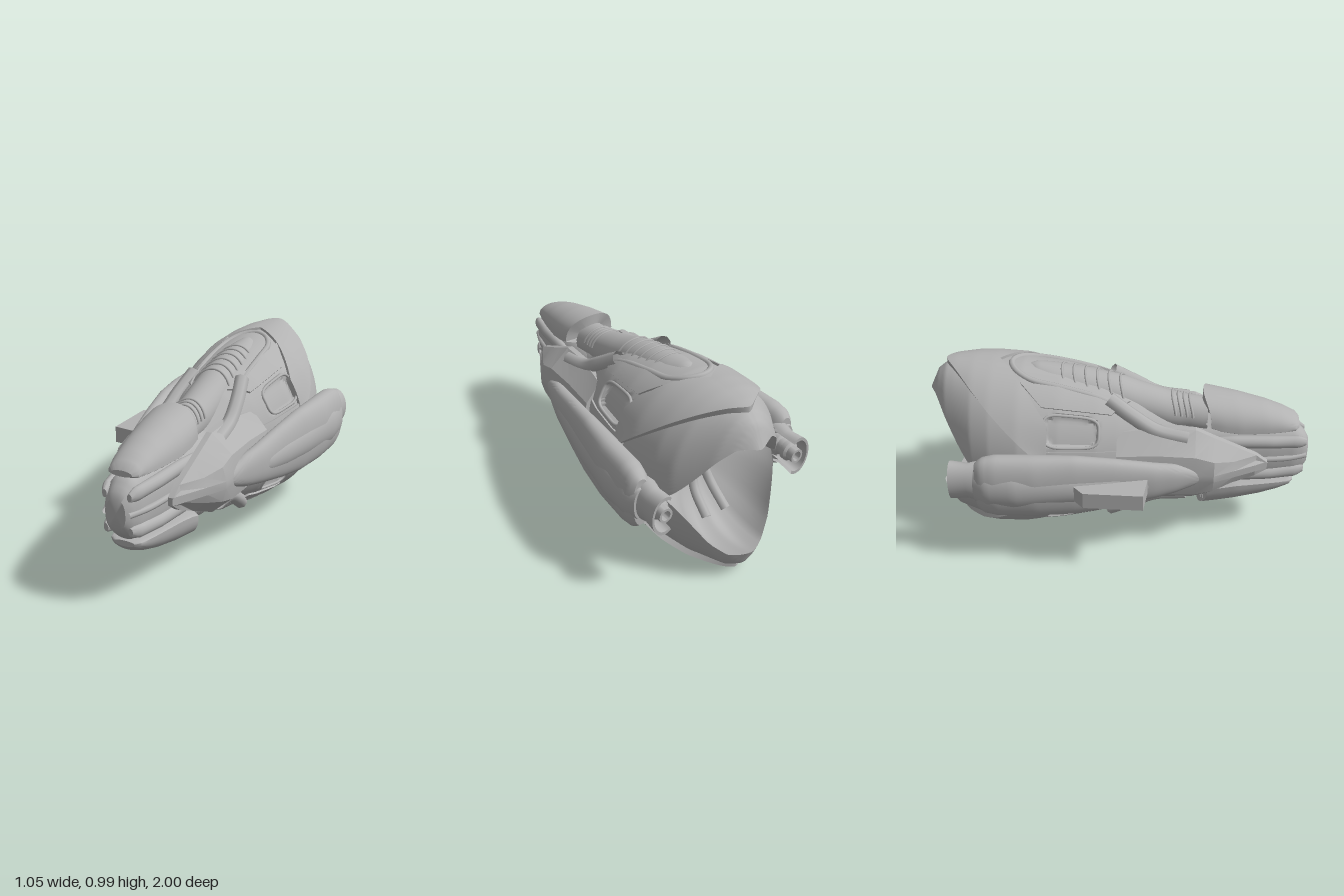
import * as THREE from 'three';
import { toCreasedNormals } from 'three/addons/utils/BufferGeometryUtils.js';

const hullGrey = new THREE.MeshStandardMaterial({ color: 0xb2b2b2, side: THREE.DoubleSide });
hullGrey.name = 'hull grey';
const MID = 0.49; // height of the horizontal mirror plane
const { lerp, clamp, smoothstep } = THREE.MathUtils;

// Reads column k of a table of stations [z, ...values], z falling.
function at(table, z, k) {
  let i = 0;
  while (i < table.length - 2 && z < table[i + 1][0]) i++;
  const a = table[i], b = table[i + 1];
  return lerp(a[k], b[k], clamp((z - a[0]) / (b[0] - a[0]), 0, 1));
}

// Surface from a rule fn(u, v) -> [x, y, z].
function grid(fn, nu, nv, crease = 0.6) {
  const pos = [], idx = [];
  for (let j = 0; j <= nv; j++) for (let i = 0; i <= nu; i++) pos.push(...fn(i / nu, j / nv));
  for (let j = 0; j < nv; j++) for (let i = 0; i < nu; i++) {
    const a = j * (nu + 1) + i, b = a + nu + 1;
    idx.push(a, b, a + 1, a + 1, b, b + 1);
  }
  const g = new THREE.BufferGeometry();
  g.setAttribute('position', new THREE.Float32BufferAttribute(pos, 3));
  g.setIndex(idx);
  return toCreasedNormals(g, crease);
}

// Closed body along z: stations [z, centre x, half width, centre y, half height].
function pod(table, nu = 32, nv = 40, power = 1) {
  const z0 = table[0][0], z1 = table[table.length - 1][0];
  return grid((u, v) => {
    const s = clamp((v * (nv + 2) - 1) / nv, 0, 1), k = v === 0 || v === 1 ? 0 : 1;
    const z = lerp(z0, z1, s), a = u * Math.PI * 2, c = Math.cos(a), n = Math.sin(a);
    return [at(table, z, 1) + k * at(table, z, 2) * Math.sign(n) * Math.abs(n) ** power,
      at(table, z, 3) + k * at(table, z, 4) * Math.sign(c) * Math.abs(c) ** power, z];
  }, nu, nv + 2);
}

// Hull stations: z, half width, half height
const HULL = [[0.5, 0.13, 0.19], [0.3, 0.15, 0.22], [0.1, 0.25, 0.33], [0, 0.29, 0.37], [-0.1, 0.325, 0.4],
  [-0.3, 0.365, 0.445], [-0.5, 0.378, 0.474], [-0.65, 0.36, 0.478], [-0.75, 0.325, 0.475], [-0.85, 0.25, 0.465],
  [-0.9, 0.215, 0.455], [-0.95, 0.16, 0.415], [-1, 0.09, 0.31]];
const skin = (a, z, off = 0) =>
  [(at(HULL, z, 1) + off) * Math.sin(a), (at(HULL, z, 2) + off) * Math.cos(a), z];
const rimZ = a => -0.72 - 0.28 * Math.abs(Math.cos(a)) ** 0.7;
const WINDOW = { a: 0.97, z: -0.23, da: 0.2, dz: 0.14 };

// Raised plate on the hull with a skirt round its edge
function plate(a0, a1, zf, zb, off, nu = 32, nv = 20) {
  return grid((u, v) => {
    const s = clamp((u * (nu + 2) - 1) / nu, 0, 1), t = clamp((v * (nv + 2) - 1) / nv, 0, 1);
    const edge = u === 0 || u === 1 || v === 0 || v === 1, a = lerp(a0, a1, s);
    return skin(a, lerp(zf(a), zb(a), t), edge ? -0.015 : off(t));
  }, nu + 2, nv + 2);
}

function tube(points, r, closed = false, sides = 8) {
  const curve = new THREE.CatmullRomCurve3(points.map(p => new THREE.Vector3(...p)), closed);
  return new THREE.TubeGeometry(curve, 48, r, sides, closed);
}

export function createModel() {
  const model = new THREE.Group();
  model.name = 'spacecraft';
  const body = new THREE.Group();
  body.name = 'body';
  body.position.y = MID;
  model.add(body);

  const add = (name, geo, sx = 1, sy = 1) => {
    const m = new THREE.Mesh(geo, hullGrey);
    m.name = name;
    m.scale.set(sx, sy, 1);
    body.add(m);
    return m;
  };
  const sides = (name, geo) => { for (const s of [1, -1]) add(name, geo, s, 1); };
  const topBottom = (name, geo) => { for (const s of [1, -1]) add(name, geo, 1, s); };
  const corners = (name, geo) => { for (const s of [1, -1]) topBottom(name, geo.clone().scale(s, 1, 1)); };

  // Main hull with four sunken windows and a beaked rear rim
  add('hull', grid((u, v) => {
    const a = u * Math.PI * 2, z = lerp(0.5, rimZ(a), v), q = Math.acos(Math.min(1, Math.abs(Math.cos(a))));
    const d = ((q - WINDOW.a) / WINDOW.da) ** 4 + ((z - WINDOW.z) / WINDOW.dz) ** 4;
    return skin(a, z, -0.025 * (1 - smoothstep(d, 0.6, 1.1)));
  }, 144, 120));

  // Hollow rear bay
  add('rearBay', grid((u, v) => {
    const a = u * Math.PI * 2, z = rimZ(a), p = skin(a, z), t = v * Math.PI / 2;
    const ripple = 0.03 * Math.sin(a * 6) * Math.sin(Math.PI * v);
    const k = Math.cos(t) * (1 + 0.3 * Math.abs(Math.cos(a)) * Math.sin(Math.PI * v) + ripple - 0.06 * Math.sin(Math.PI * v));
    return [p[0] * k, p[1] * k, lerp(z, -0.52, Math.sin(t))];
  }, 72, 24));
  add('bayKnob', new THREE.SphereGeometry(0.025, 16, 12).translate(0, 0.03, -0.56));
  corners('bayRidge', tube([[0.03, 0.06, -0.55], [0.05, 0.16, -0.6], [0.06, 0.26, -0.72]], 0.025));

  // Collar plates, swept back from a chevron
  topBottom('collar', plate(-1.28, 1.28,
    a => -0.62 + 0.27 * Math.min(1, Math.abs(a) / 0.9),
    a => -0.9 + 0.5 * (Math.abs(a) / 1.3) ** 1.5,
    t => lerp(0.014, 0.03, t), 56, 16));

  // Window frames and the panels round them
  const ring = [];
  for (let i = 0; i < 24; i++) {
    const t = i / 24 * Math.PI * 2, c = Math.cos(t), s = Math.sin(t);
    ring.push(skin(WINDOW.a + WINDOW.da * Math.sign(c) * Math.sqrt(Math.abs(c)),
      WINDOW.z + WINDOW.dz * Math.sign(s) * Math.sqrt(Math.abs(s)), 0.001));
  }
  corners('windowFrame', tube(ring, 0.008, true));
  corners('shoulderPanel', plate(0.4, 0.7, a => 0.06 - (a - 0.4) * 0.3, a => -0.5 + (a - 0.4) * 0.4, () => 0.011, 12, 20));
  corners('lowerPanel', plate(1.22, 1.5, () => 0.02, () => -0.42, () => 0.01, 12, 16));

  // Spine with rounded rear end, ribs and a U-shaped surround
  const SPINE = [[0.46, 0, 0.095, 0.19, 0.1], [0.34, 0, 0.09, 0.205, 0.1], [0.25, 0, 0.1, 0.22, 0.105],
    [0.1, 0, 0.105, 0.265, 0.105], [0, 0, 0.105, 0.3, 0.105], [-0.2, 0, 0.108, 0.342, 0.105],
    [-0.35, 0, 0.105, 0.365, 0.1], [-0.43, 0, 0.08, 0.375, 0.1], [-0.48, 0, 0.02, 0.38, 0.085]];
  topBottom('spine', pod(SPINE));
  for (const z of [0.36, 0.33, 0.3, 0.27, 0, -0.06, -0.12, -0.18, -0.24, -0.3]) {
    const pts = [];
    for (let i = 0; i <= 16; i++) {
      const a = lerp(-1.35, 1.35, i / 16);
      pts.push([at(SPINE, z, 2) * Math.sin(a), at(SPINE, z, 3) + at(SPINE, z, 4) * Math.cos(a), z + 0.025 * Math.sin(a) ** 2]);
    }
    topBottom('spineRib', tube(pts, 0.007, false, 6));
  }
  const uPath = [[0.15, 0.06], [0.14, -0.1], [0.135, -0.3], [0.12, -0.45], [0.07, -0.53], [0, -0.56]];
  const uPts = [...uPath, ...uPath.slice(0, -1).reverse().map(([x, z]) => [-x, z])]
    .map(([x, z]) => skin(Math.asin(x / at(HULL, z, 1)), z, -0.004));
  topBottom('spineSurround', tube(uPts, 0.017));

  // Nose core with long eye-shaped ridges
  add('noseCore', pod([[1, 0, 0.05, 0, 0.075], [0.98, 0, 0.07, 0, 0.11], [0.93, 0, 0.09, 0, 0.155],
    [0.8, 0, 0.115, 0, 0.175], [0.6, 0, 0.14, 0, 0.185], [0.3, 0, 0.15, 0, 0.19]], 32, 40, 0.8));
  corners('noseRidge', pod([[0.985, 0.065, 0.012, 0.085, 0.02], [0.95, 0.075, 0.025, 0.092, 0.035],
    [0.8, 0.1, 0.032, 0.1, 0.035], [0.6, 0.12, 0.03, 0.105, 0.035], [0.45, 0.13, 0.01, 0.11, 0.02]], 16, 24));
  sides('noseRail', tube([[0.06, 0, 0.99], [0.1, 0, 0.88], [0.13, 0, 0.65], [0.14, 0, 0.45]], 0.016));

  // Nose caps: half width, base, top
  const CAP = [[0.94, 0.055, 0.17, 0.19], [0.92, 0.08, 0.165, 0.215], [0.85, 0.1, 0.165, 0.25], [0.75, 0.12, 0.165, 0.285],
    [0.6, 0.143, 0.17, 0.322], [0.5, 0.15, 0.185, 0.34], [0.43, 0.15, 0.205, 0.352]];
  topBottom('noseCap', grid((u, v) => {
    const s = clamp((v * 26 - 1) / 24, 0, 1), z = lerp(0.94, 0.43, s), flat = v === 0 || v === 1;
    const a = u * Math.PI * 2, c = Math.cos(a), n = Math.sin(a), base = at(CAP, z, 2);
    const y = c > 0 ? base + (at(CAP, z, 3) - base) * c ** 0.85 : base + 0.01 * c;
    return [flat ? 0 : at(CAP, z, 1) * n, flat ? base : y, z + 0.05 * s * n * n];
  }, 48, 26));

  // Cheek wedges: z, inner x, outer x, half height
  const CHEEK = [[0.78, 0.145, 0.17, 0.02], [0.72, 0.145, 0.2, 0.065], [0.6, 0.148, 0.262, 0.12], [0.5, 0.15, 0.312, 0.165],
    [0.4, 0.155, 0.315, 0.215], [0.2, 0.165, 0.32, 0.225], [0, 0.2, 0.33, 0.21]];
  sides('cheek', grid((u, v) => {
    const j = Math.round(v * 8), [z, i, x, t] = CHEEK[clamp(j - 1, 0, 6)];
    if (j === 0 || j === 8) return [(i + x) / 2, 0, z];
    const loop = [[x, 0.02], [x - 0.02, t * 0.55], [i + 0.03, t], [i, t], [i, -t], [i + 0.03, -t], [x - 0.02, -t * 0.55], [x, -0.02]];
    return [...loop[Math.round(u * 8) % 8], z];
  }, 8, 8, 0.35));
  corners('cheekArm', tube([[0.2, 0.17, 0.36], [0.185, 0.2, 0.2], [0.17, 0.27, 0.08], [0.14, 0.355, -0.05]], 0.04, false, 8));

  // Side pods with raised outer blisters
  const POD = [[0.46, 0.29, 0.01, 0.01], [0.4, 0.29, 0.035, 0.05], [0.3, 0.315, 0.045, 0.085], [0.2, 0.34, 0.05, 0.105],
    [0, 0.375, 0.057, 0.145], [-0.2, 0.405, 0.067, 0.175], [-0.4, 0.425, 0.08, 0.18], [-0.6, 0.435, 0.08, 0.18],
    [-0.67, 0.44, 0.068, 0.165], [-0.7, 0.44, 0.045, 0.135]].map(([z, x, w, h]) => [z, x, w, 0, h]);
  sides('sidePod', pod(POD, 40, 60, 0.85));
  sides('podBlister', pod([[0.2, 0.36, 0.025, 0, 0.03], [0.15, 0.365, 0.04, 0, 0.06], [0, 0.385, 0.057, 0, 0.085],
    [-0.2, 0.415, 0.067, 0, 0.1], [-0.5, 0.445, 0.08, 0, 0.125], [-0.65, 0.45, 0.07, 0, 0.12], [-0.71, 0.45, 0.04, 0, 0.09]]));

  // Rear nozzles inside half-open sleeves
  const lathe = (pts, start = 0, len = Math.PI * 2) => toCreasedNormals(
    new THREE.LatheGeometry(pts.map(p => new THREE.Vector2(...p)), 32, start, len).rotateX(-Math.PI / 2), 0.6);
  const nozzle = lathe([[0.065, 0.6], [0.065, 0.72], [0.052, 0.73], [0.052, 0.76], [0.06, 0.765], [0.06, 0.79],
    [0.045, 0.8], [0.045, 0.84], [0.03, 0.84], [0.03, 0.8], [0, 0.8]]);
  sides('nozzle', nozzle.scale(0.8, 0.9, 1).translate(0.4, 0, 0));
  const sleeve = lathe([[0.1, 0.6], [0.115, 0.7], [0.1, 0.75], [0.11, 0.84], [0.092, 0.84], [0.085, 0.7], [0.085, 0.6]], -0.5, Math.PI + 1);
  sides('nozzleSleeve', sleeve.scale(0.65, 1, 1).translate(0.405, 0, 0));

  // Single fin block on the right flank
  const fin = new THREE.Shape([[-0.53, -0.15], [-0.53, 0.15], [-0.36, 0.17], [-0.36, -0.2], [-0.48, -0.2]]
    .map(([x, z]) => new THREE.Vector2(x, -z)));
  add('flankFin', new THREE.ExtrudeGeometry(fin, { depth: 0.09, bevelEnabled: false })
    .rotateX(-Math.PI / 2).translate(0, -0.045, 0));

  return model;
}
